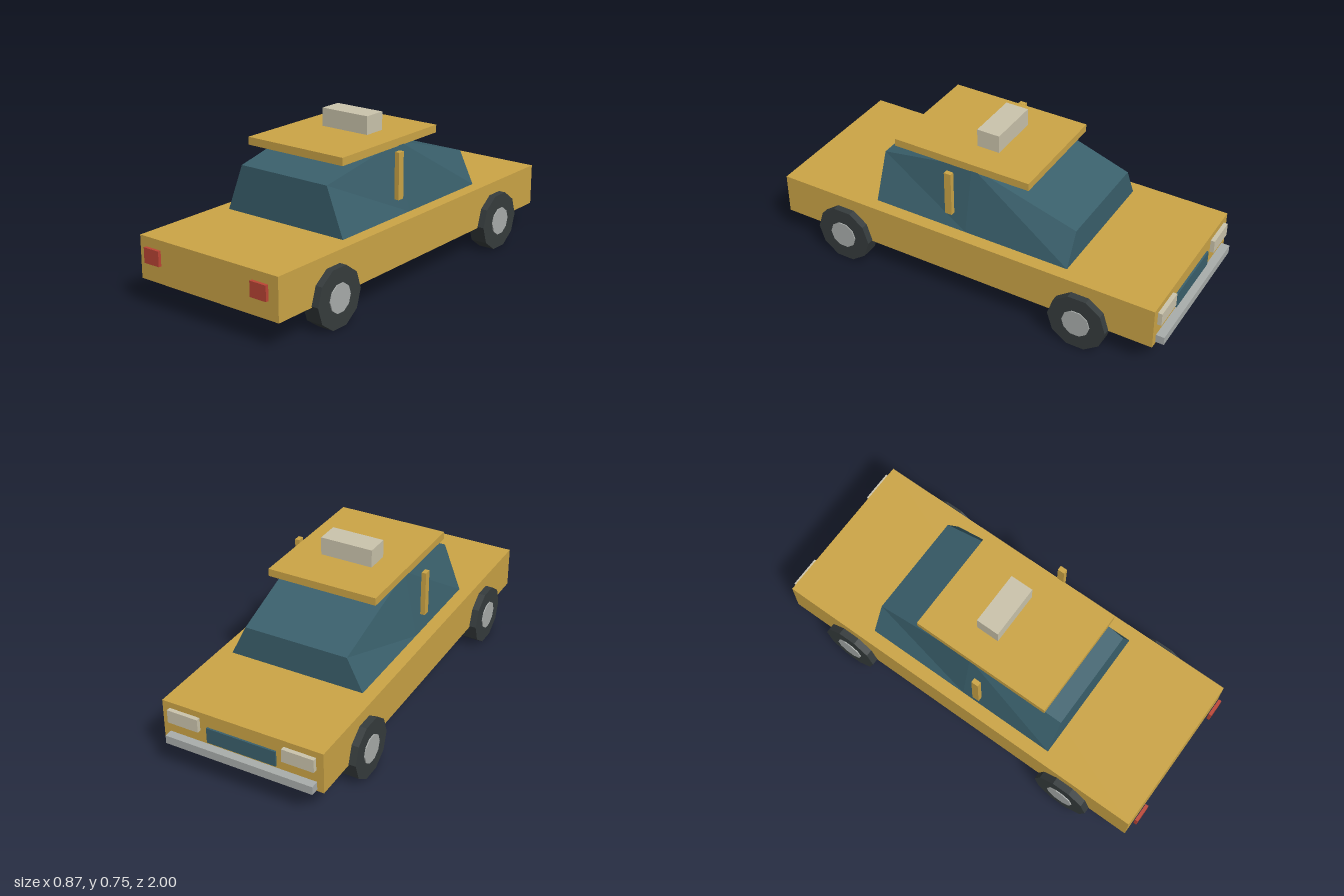
import * as THREE from 'three';

const material = (name, color, flatShading = true) => {
  const m = new THREE.MeshStandardMaterial({ color, flatShading });
  m.name = name;
  return m;
};

// Box given by its low and high limits on each axis
function box(name, mat, [x0, x1], [y0, y1], [z0, z1]) {
  const mesh = new THREE.Mesh(new THREE.BoxGeometry(x1 - x0, y1 - y0, z1 - z0), mat);
  mesh.position.set((x0 + x1) / 2, (y0 + y1) / 2, (z0 + z1) / 2);
  mesh.name = name;
  return mesh;
}

// Cabin: trapezoid cross-sections joined along z
function cabinGeometry() {
  const base = 0.33, halfBase = 0.332;
  // z, top height, top half width
  const sections = [[0.49, 0.555, 0.245], [0.01, 0.65, 0.267], [-0.51, 0.487, 0.255]];
  const points = [], index = [];
  sections.forEach(([z, top, half]) => points.push(
    -halfBase, base, z, halfBase, base, z, half, top, z, -half, top, z));
  for (let s = 0; s < sections.length - 1; s++) {
    for (let i = 0; i < 4; i++) {
      const a = s * 4 + i, b = s * 4 + (i + 1) % 4;
      index.push(a, a + 4, b, b, a + 4, b + 4);
    }
  }
  const e = (sections.length - 1) * 4;
  index.push(0, 1, 2, 0, 2, 3, e, e + 2, e + 1, e, e + 3, e + 2);
  const g = new THREE.BufferGeometry();
  g.setAttribute('position', new THREE.Float32BufferAttribute(points, 3));
  g.setIndex(index);
  const flat = g.toNonIndexed();
  flat.computeVertexNormals();
  return flat;
}

// Ten-sided disc with its axle along x and corners pointing fore and aft
function disc(name, mat, radius, x0, x1) {
  const g = new THREE.CylinderGeometry(radius, radius, x1 - x0, 10);
  g.rotateZ(Math.PI / 2);
  const mesh = new THREE.Mesh(g, mat);
  mesh.position.x = (x0 + x1) / 2;
  mesh.name = name;
  return mesh;
}

export function createModel() {
  const yellow = material('yellow paint', 0xcca546);
  const glass = material('blue glass', 0x3a606c);
  const rubber = material('dark rubber', 0x363c3d);
  const metal = material('grey metal', 0xa9adab);
  const cream = material('cream lamp', 0xcbc4ac);
  const red = material('red lamp', 0xbc4535);

  const car = new THREE.Group();
  car.name = 'taxi';

  // Body, cabin and roof
  car.add(box('body', yellow, [-0.395, 0.395], [0.13, 0.33], [-0.96, 0.976]));
  const cabin = new THREE.Mesh(cabinGeometry(), glass);
  cabin.name = 'cabin';
  car.add(cabin);
  car.add(box('roof', yellow, [-0.271, 0.271], [0.628, 0.665], [-0.28, 0.415]));
  car.add(box('roofSign', cream, [-0.13, 0.13], [0.665, 0.752], [-0.05, 0.063]));

  // Bumper and grille
  car.add(box('bumper', metal, [-0.363, 0.363], [0.138, 0.178], [-1, -0.96]));
  car.add(box('grille', glass, [-0.17, 0.17], [0.19, 0.265], [-0.969, -0.96]));

  // Paired parts
  for (const side of [-1, 1]) {
    const name = side > 0 ? 'left' : 'right';
    const span = (a, b) => (side > 0 ? [a, b] : [-b, -a]);
    car.add(box(name + 'DoorPillar', yellow, span(0.32, 0.343), [0.41, 0.63], [0.073, 0.108]));
    car.add(box(name + 'Headlight', cream, span(0.206, 0.36), [0.236, 0.3], [-0.98, -0.96]));
    car.add(box(name + 'TailLight', red, span(0.262, 0.35), [0.218, 0.289], [0.985, 1]));

    for (const z of [0.632, -0.61]) {
      const wheel = new THREE.Group();
      wheel.name = name + (z < 0 ? 'LampEndWheel' : 'TailEndWheel');
      wheel.add(disc('tyre', rubber, 0.142, ...span(0.346, 0.429)));
      wheel.add(disc('hub', metal, 0.068, ...span(0.36, 0.434)));
      wheel.position.set(0, 0.136, z);
      car.add(wheel);
    }
  }
  return car;
}
